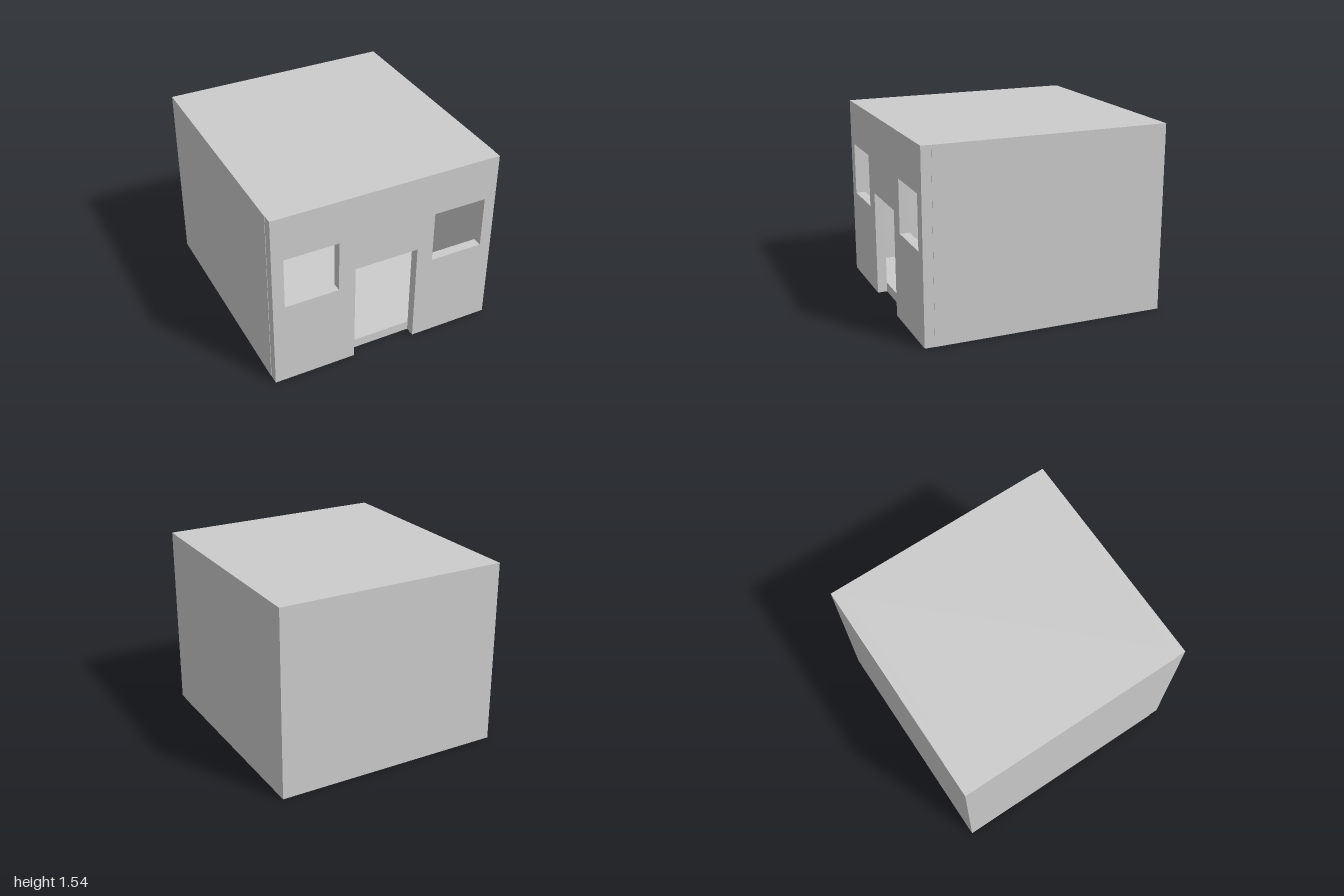
import * as THREE from 'three';

const W = 1.92, H = 1.54, D = 2, T = 0.08; // overall size and wall thickness

export function createModel() {
  const house = new THREE.Group();
  house.name = 'house';
  const material = new THREE.MeshStandardMaterial({ color: 0xcccccc, flatShading: true });

  const add = (name, geometry, x, y, z) => {
    const mesh = new THREE.Mesh(geometry, material);
    mesh.name = name;
    mesh.position.set(x, y, z);
    house.add(mesh);
  };

  // Front wall: doorway notched into the outline, two square window holes
  const doorX = 0.27, doorTop = 0.88, halfW = W / 2 - 0.003;
  const outline = new THREE.Shape([
    [-halfW, 0], [-doorX, 0], [-doorX, doorTop], [doorX, doorTop],
    [doorX, 0], [halfW, 0], [halfW, H], [-halfW, H],
  ].map(([x, y]) => new THREE.Vector2(x, y)));
  for (const side of [-1, 1]) {
    outline.holes.push(new THREE.Path([
      [0.41, 0.73], [0.86, 0.73], [0.86, 1.17], [0.41, 1.17],
    ].map(([x, y]) => new THREE.Vector2(side * x, y))));
  }
  const frontWall = new THREE.ExtrudeGeometry(outline, { depth: T, bevelEnabled: false });
  add('frontWall', frontWall, 0, 0, D / 2 - T);

  // Side walls run from the back to the front wall
  for (const [name, side] of [['leftWall', 1], ['rightWall', -1]]) {
    add(name, new THREE.BoxGeometry(T, H, D - T), side * (W - T) / 2, H / 2, -T / 2);
  }

  // Back wall, floor and roof fit between the side walls
  const innerW = W - 2 * T, innerD = D - 2 * T;
  add('backWall', new THREE.BoxGeometry(innerW, H, T), 0, H / 2, (T - D) / 2);
  add('floor', new THREE.BoxGeometry(innerW, T, innerD), 0, T / 2, 0);
  add('roof', new THREE.BoxGeometry(innerW, T, innerD), 0, H - T / 2, 0);

  return house;
}
